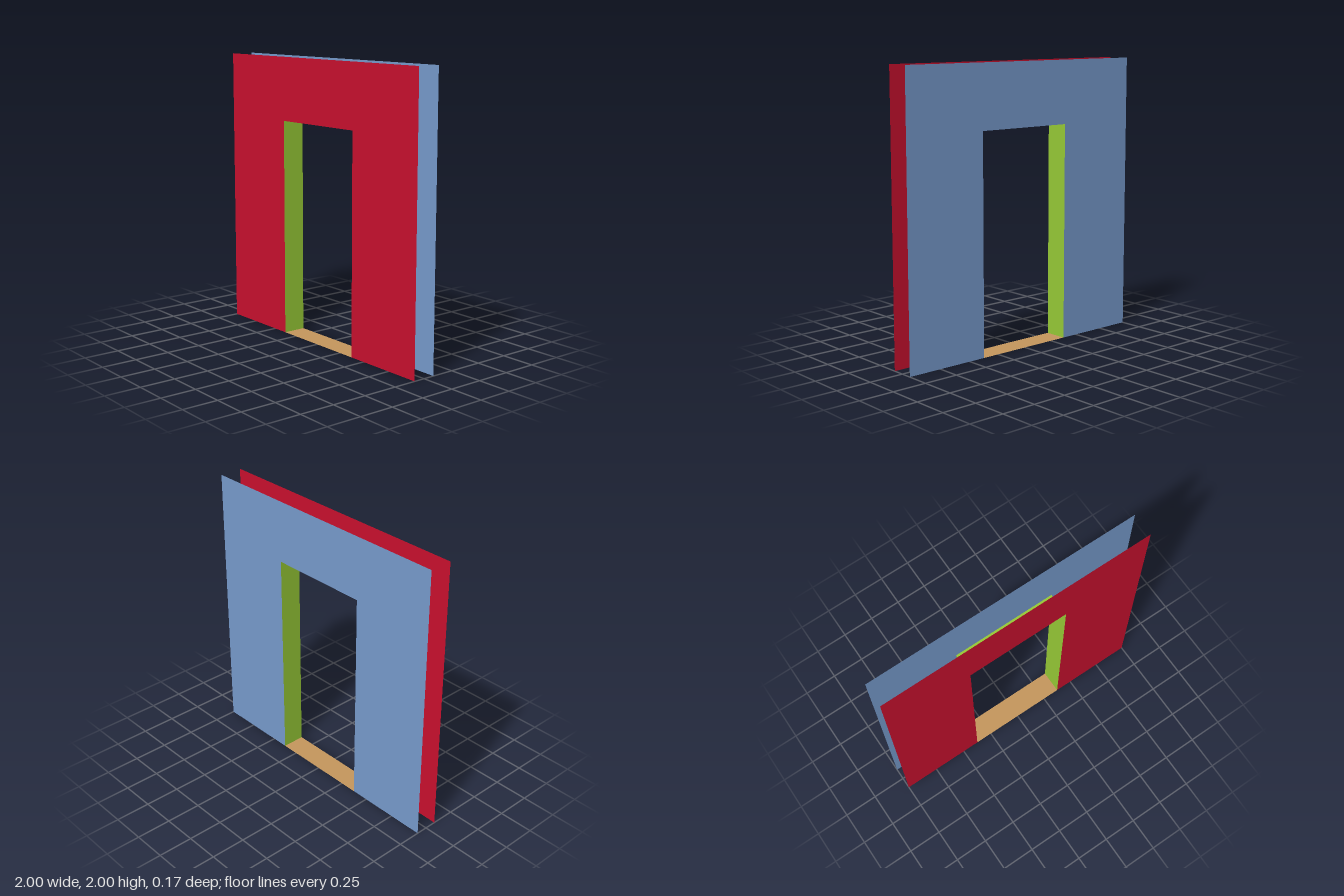
import * as THREE from 'three';

const HALF_WIDTH = 1, HEIGHT = 2;
const DOOR_HALF = 0.375, DOOR_HEIGHT = 1.55;
const DEPTH = 0.166;

const material = (color) => new THREE.MeshStandardMaterial({ color, side: THREE.DoubleSide });

export function createModel() {
  const model = new THREE.Group();
  model.name = 'wallWithDoorway';

  const add = (name, geometry, mat, position = [0, 0, 0], rotation = [0, 0, 0]) => {
    const mesh = new THREE.Mesh(geometry, mat);
    mesh.name = name;
    mesh.position.set(...position);
    mesh.rotation.set(...rotation);
    model.add(mesh);
  };

  // Wall face with a doorway notch open at the bottom
  const outline = new THREE.Shape([
    [-HALF_WIDTH, 0], [-DOOR_HALF, 0], [-DOOR_HALF, DOOR_HEIGHT], [DOOR_HALF, DOOR_HEIGHT],
    [DOOR_HALF, 0], [HALF_WIDTH, 0], [HALF_WIDTH, HEIGHT], [-HALF_WIDTH, HEIGHT],
  ].map(([x, y]) => new THREE.Vector2(x, y)));
  const face = new THREE.ShapeGeometry(outline);
  add('frontWallFace', face, material(0xc8102e), [0, 0, DEPTH / 2]);
  add('backWallFace', face, material(0x769acb), [0, 0, -DEPTH / 2], [0, Math.PI, 0]);

  // Door lining: two jambs facing inwards and the head above
  const lining = material(0x96c936);
  for (const [name, side] of [['leftJamb', 1], ['rightJamb', -1]]) {
    add(name, new THREE.PlaneGeometry(DEPTH, DOOR_HEIGHT), lining,
      [side * DOOR_HALF, DOOR_HEIGHT / 2, 0], [0, -side * Math.PI / 2, 0]);
  }
  const strip = new THREE.PlaneGeometry(DOOR_HALF * 2, DEPTH);
  add('doorHead', strip, lining, [0, DOOR_HEIGHT, 0], [Math.PI / 2, 0, 0]);

  // Threshold across the floor of the opening
  add('threshold', strip, material(0xc4965c), [0, 0, 0], [-Math.PI / 2, 0, 0]);

  return model;
}
